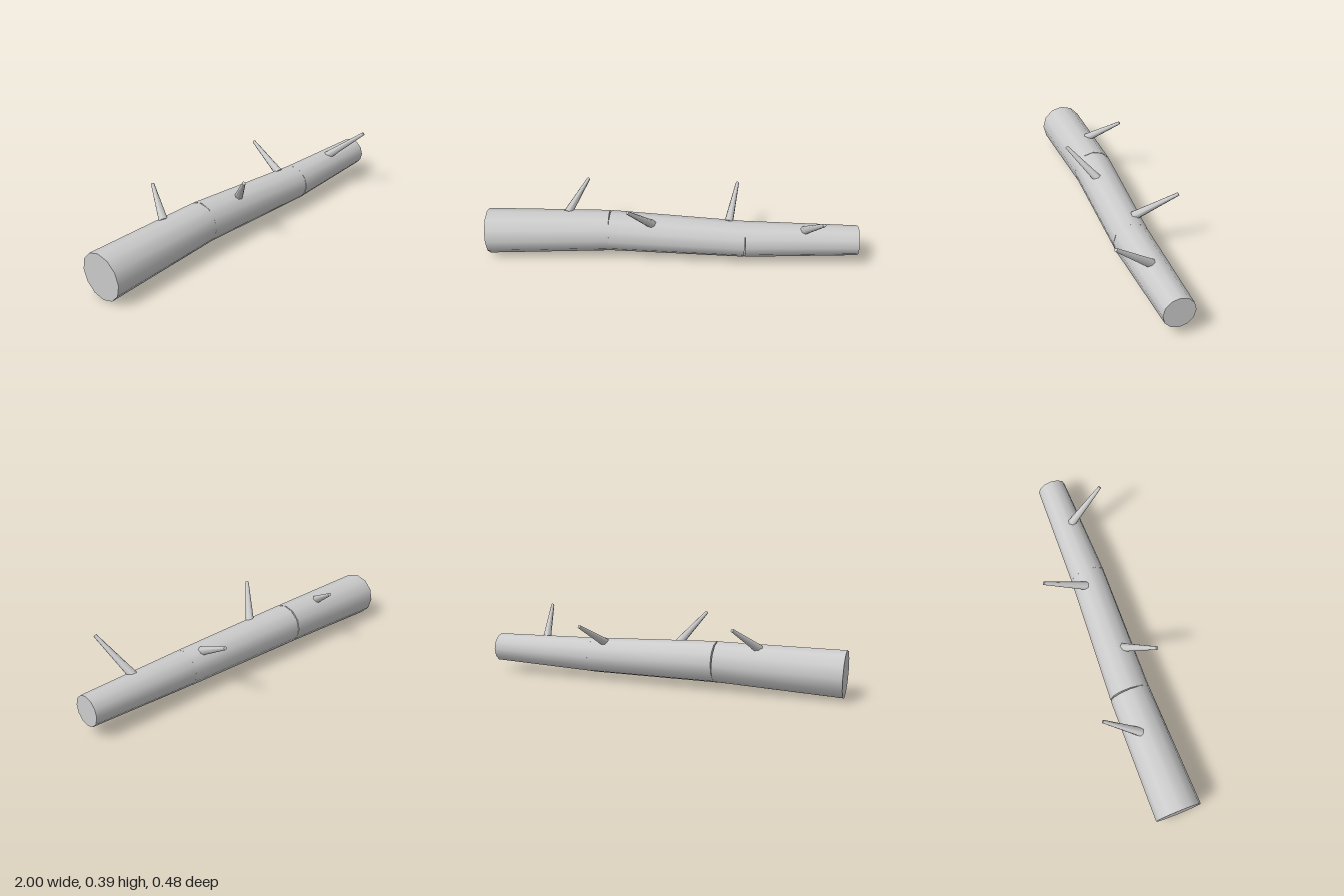
import * as THREE from 'three';

const UP = new THREE.Vector3(0, 1, 0);

// Tapered smooth cylinder running from point a to point b
function limb(name, a, b, rA, rB, sides, material) {
  const start = new THREE.Vector3(...a), end = new THREE.Vector3(...b);
  const dir = end.clone().sub(start);
  const mesh = new THREE.Mesh(new THREE.CylinderGeometry(rB, rA, dir.length(), sides), material);
  mesh.name = name;
  mesh.position.copy(start).add(end).multiplyScalar(0.5);
  mesh.quaternion.setFromUnitVectors(UP, dir.normalize());
  return mesh;
}

export function createModel() {
  const group = new THREE.Group();
  group.name = 'fallenLog';
  const wood = new THREE.MeshStandardMaterial({ color: 0xcccccc });
  wood.name = 'paleGrey';

  // Trunk: three tapered sections meeting at slight bends
  const joints = [
    { p: [-0.998, 0.124, 0.018], r: 0.123 },
    { p: [-0.333, 0.143, 0.004], r: 0.11 },
    { p: [0.397, 0.13, 0.024], r: 0.097 },
    { p: [0.999, 0.139, 0.013], r: 0.08 },
  ];
  for (let i = 0; i < 3; i++) {
    const a = joints[i], b = joints[i + 1];
    group.add(limb(`trunkSection${i + 1}`, a.p, b.p, a.r, b.r, 12, wood));
  }

  // Twigs: broken stubs leaning to the front and back, bases sunk in the trunk
  const twigs = [
    [[-0.566, 0.23, -0.025], [-0.472, 0.346, -0.2]],
    [[-0.095, 0.215, 0.045], [-0.214, 0.38, 0.19]],
    [[0.308, 0.21, -0.012], [0.352, 0.326, -0.238]],
    [[0.707, 0.203, 0.034], [0.777, 0.374, 0.235]],
  ];
  twigs.forEach(([a, b], i) => group.add(limb(`twig${i + 1}`, a, b, 0.024, 0.009, 7, wood)));

  return group;
}
